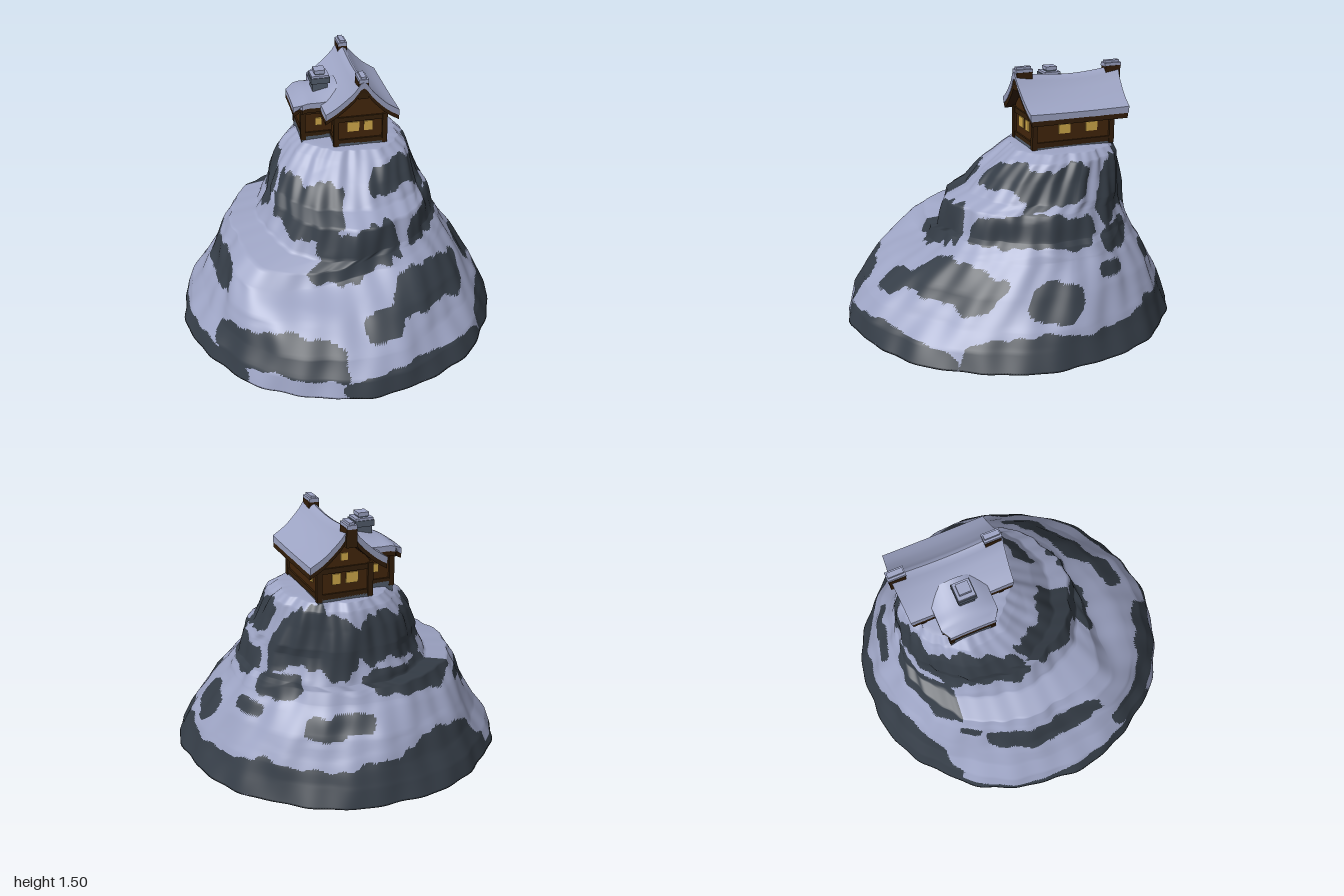
import * as THREE from 'three';
import { toCreasedNormals } from 'three/addons/utils/BufferGeometryUtils.js';

const mat = (name, color) => {
  const m = new THREE.MeshStandardMaterial({ color });
  m.name = name;
  return m;
};

// Hill contours: height, x min, x max, z max, z min, bulge of the front-right spur, bulge of the front-left shoulder
const LEVELS = [
  [0, 0, 0, 0, 0, 0, 0],
  [0, -0.965, 0.965, 0.99, -0.99, 0, 0],
  [0.1, -0.92, 0.92, 0.96, -0.955, 0.01, -0.02],
  [0.2, -0.84, 0.875, 0.89, -0.91, 0.04, -0.06],
  [0.35, -0.745, 0.78, 0.7, -0.85, 0.13, 0.01],
  [0.5, -0.67, 0.68, 0.49, -0.75, 0.17, 0.05],
  [0.57, -0.63, 0.65, 0.46, -0.715, 0.1, 0.01],
  [0.6, -0.47, 0.625, 0.44, -0.695, 0.02, 0],
  [0.74, -0.4, 0.575, 0.4, -0.67, 0, 0],
  [0.79, -0.38, 0.555, 0.28, -0.66, 0, 0.02],
  [0.9, -0.32, 0.505, 0.18, -0.63, 0, 0.04],
  [1.0, -0.24, 0.465, 0.07, -0.6, 0, 0.06],
  [1.045, -0.18, 0.42, 0.02, -0.57, 0, 0.04],
  [1.065, 0.125, 0.125, -0.275, -0.275, 0, 0],
];

// Bare rock patches: bearing in degrees (0 = +x, 90 = front), height, half spans
const PATCHES = [
  [133, 0.78, 31, 0.13], [58, 0.91, 23, 0.075], [93, 0.6, 28, 0.14], [42, 0.65, 17, 0.08],
  [82, 0.31, 9, 0.06], [51, 0.37, 23, 0.1], [178, 0.4, 31, 0.085], [125, 0.18, 29, 0.1],
  [68, 0.05, 31, 0.07], [158, 0.03, 25, 0.06], [18, 0.05, 17, 0.09], [14, 0.88, 25, 0.11],
  [-55, 0.83, 34, 0.18], [12, 0.65, 32, 0.09], [-36, 0.57, 14, 0.07], [5, 0.33, 11, 0.095],
  [-23, 0.43, 8, 0.04], [-63, 0.4, 9, 0.06], [-25, 0.07, 58, 0.1], [222, 0.82, 58, 0.14],
  [246, 0.58, 28, 0.08], [248, 0.16, 25, 0.13], [285, 0.42, 10, 0.05],
  [215, 0.47, 6, 0.03], [250, 0.05, 30, 0.1], [200, 0, 32, 0.04], [295, 0.08, 30, 0.13],
];

// Position within a patch, in units of its half spans
const patchUV = ([d, h, w, s], deg, y) => {
  const wave = 0.2 * s * Math.sin(7 * deg * Math.PI / 180 + d);
  return [(((deg - d + 540) % 360) - 180) / w, (y - h - wave) / s];
};

function isRock(deg, y) {
  const r = deg * Math.PI / 180;
  const wob = 0.2 * Math.sin(17 * r + 21 * y) + 0.16 * Math.sin(37 * r - 33 * y);
  return PATCHES.some((p) => {
    const [u, v] = patchUV(p, deg, y);
    return u * u * u * u + Math.abs(v * v * v) + wob < 0.95;
  });
}

// Rock faces stand steeper than the snow, leaving a small shelf above each
function terrace(deg, y) {
  let sum = 0;
  for (const p of PATCHES) {
    const [u, v] = patchUV(p, deg, y);
    if (Math.abs(u) < 1.2 && Math.abs(v) < 1.4) sum += 0.14 * p[3] * v * (1 - (u / 1.2) ** 2) * (1 - (v / 1.4) ** 2);
  }
  return sum * Math.min(1, Math.max(0, (y - 0.12) * 5));
}

function hillGeometry() {
  const N = 400, SUB = 10, rows = (LEVELS.length - 1) * SUB;
  const pos = [], snow = [], rock = [];
  for (let j = 0; j <= rows; j++) {
    const k = Math.min(Math.floor(j / SUB), LEVELS.length - 2), t = j / SUB - k;
    const [y, x0, x1, z1, z0, bulge, shoulder] = LEVELS[k].map((v, c) => v + (LEVELS[k + 1][c] - v) * t);
    const fade = Math.min(1, (x1 - x0) / 0.5);
    for (let i = 0; i < N; i++) {
      const a = (i / N) * Math.PI * 2;
      const spur = a - Math.PI * 0.75, dip = a - 2.0, side = a - 0.9;
      const extra = bulge * Math.exp(-spur * spur / 0.14) + shoulder * Math.exp(-side * side / 0.2)
        + fade * (terrace(i / N * 360, y)
        + 0.007 * (Math.sin(9 * a + 9 * y) + 0.6 * Math.sin(17 * a - 12 * y) + 0.5 * Math.sin(29 * a + 5 * y)));
      // The wide shelf winds downhill round the spur
      const drop = 0.08 * Math.exp(-dip * dip / 0.25) * Math.exp(-(((y - 0.53) / 0.13) ** 2)) * Math.min(1, y * 5);
      pos.push((x0 + x1) / 2 + ((x1 - x0) / 2 + extra) * Math.cos(a), y - drop,
        (z0 + z1) / 2 + ((z1 - z0) / 2 + extra) * Math.sin(a));
    }
  }
  for (let j = 0; j < rows; j++) {
    for (let i = 0; i < N; i++) {
      const n = (i + 1) % N;
      const a = j * N + i, b = j * N + n, c = a + N, d = b + N;
      for (const [tri, f] of [[[a, c, b], 1 / 3], [[b, c, d], 2 / 3]]) {
        const y = tri.reduce((sum, v) => sum + pos[v * 3 + 1] / 3, 0);
        (j >= SUB && isRock((i + f) / N * 360, y) ? rock : snow).push(...tri);
      }
    }
  }
  const g = new THREE.BufferGeometry();
  g.setAttribute('position', new THREE.Float32BufferAttribute(pos, 3));
  g.setIndex([...snow, ...rock]);
  g.addGroup(0, snow.length, 0);
  g.addGroup(snow.length, rock.length, 1);
  g.computeVertexNormals();
  return g;
}

// Curved roof slab: an eave-to-eave line thickened from lo to hi and run along z
function roofGeometry(line, lo, hi, zBack, zFront, rule) {
  const curve = new THREE.SplineCurve(line.map((p) => new THREE.Vector2(...p))).getPoints(20);
  const shape = new THREE.Shape([
    ...curve.map((p) => new THREE.Vector2(p.x, p.y + lo)),
    ...curve.reverse().map((p) => new THREE.Vector2(p.x, p.y + hi)),
  ]);
  const g = new THREE.ExtrudeGeometry(shape, { depth: 1, steps: 12, bevelEnabled: false });
  const p = g.attributes.position;
  for (let i = 0; i < p.count; i++) {
    const s = p.getZ(i) * 2 - 1;
    const [dy, grow] = rule(p.getX(i), p.getY(i), s);
    p.setY(i, p.getY(i) + dy);
    p.setZ(i, (zBack + zFront) / 2 + s * ((zFront - zBack) / 2 + grow));
  }
  return toCreasedNormals(g, 0.7);
}

export function createModel() {
  const snow = mat('snow', 0x9da4c4), rock = mat('rock', 0x353d47), wood = mat('wood', 0x43260b);
  const beam = mat('dark beam', 0x331e09), glow = mat('lit window', 0xd0a94a), stone = mat('chimney stone', 0x525c6b);
  const model = new THREE.Group();
  model.name = 'snowyHillCabin';
  const add = (name, geo, material, parent = model) => {
    const m = new THREE.Mesh(geo, material);
    m.name = name;
    parent.add(m);
    return m;
  };
  // Box given by its limits on each axis
  const box = (name, material, x0, x1, y0, y1, z0, z1, parent) => {
    const m = add(name, new THREE.BoxGeometry(x1 - x0, y1 - y0, z1 - z0), material, parent);
    m.position.set((x0 + x1) / 2, (y0 + y1) / 2, (z0 + z1) / 2);
  };

  // Hill with its underside
  add('hill', hillGeometry(), [snow, rock]);

  const cabin = new THREE.Group();
  cabin.name = 'cabin';
  model.add(cabin);

  // Foundations and walls
  box('mainFoundation', stone, 0.0, 0.31, 1.0, 1.065, -0.535, -0.035, cabin);
  box('wingFoundation', stone, -0.175, 0.02, 1.0, 1.075, -0.43, -0.16, cabin);
  const gable = new THREE.Shape([[0.01, 1.05], [0.305, 1.05], [0.305, 1.25], [0.16, 1.42], [0.01, 1.25]]
    .map((p) => new THREE.Vector2(...p)));
  add('mainWalls', new THREE.ExtrudeGeometry(gable, { depth: 0.48, bevelEnabled: false }).translate(0, 0, -0.525), wood, cabin);
  box('wingWalls', wood, -0.165, 0.03, 1.05, 1.24, -0.42, -0.17, cabin);

  // Sill and top beams, then corner posts
  for (const y of [1.06, 1.205]) {
    box('mainBeam', beam, 0.0, 0.315, y, y + 0.03, -0.535, -0.035, cabin);
    box('wingBeam', beam, -0.175, 0.02, y + 0.01, y + 0.035, -0.43, -0.16, cabin);
  }
  for (const [x, z] of [[0.01, -0.045], [0.305, -0.045], [0.01, -0.525], [0.305, -0.525], [-0.165, -0.17], [-0.165, -0.42]]) {
    box('cornerPost', beam, x - 0.015, x + 0.015, 1.05, 1.24, z - 0.015, z + 0.015, cabin);
  }

  // Windows as thin plates
  for (const [x, y, w] of [[0.115, 1.168, 0.07], [0.205, 1.168, 0.05]]) {
    for (const z of [-0.042, -0.528]) box('gableWindow', glow, x - w / 2, x + w / 2, y - 0.03, y + 0.03, z - 0.004, z + 0.004, cabin);
  }
  box('atticWindow', glow, 0.14, 0.18, 1.27, 1.31, -0.531, -0.523, cabin);
  for (const z of [-0.166, -0.424]) box('wingWindow', glow, -0.087, -0.05, 1.137, 1.185, z - 0.004, z + 0.004, cabin);
  for (const z of [-0.23, -0.4]) box('sideWindow', glow, 0.302, 0.31, 1.132, 1.185, z - 0.036, z + 0.036, cabin);
  for (const z of [-0.24, -0.35]) box('wingSideWindow', glow, -0.17, -0.162, 1.137, 1.185, z - 0.025, z + 0.025, cabin);

  // Main roof: sagging ridge, gables leaning outward at the top
  const mainLine = [[-0.06, 1.24], [0.01, 1.285], [0.1, 1.365], [0.16, 1.435], [0.22, 1.365], [0.3, 1.285], [0.38, 1.232]];
  const mainRule = (x, y, s) => [-0.03 * (1 - s * s) * Math.max(0, (y - 1.25) / 0.2), 0.02 * (y - 1.23) / 0.2];
  add('mainRoofBoards', roofGeometry(mainLine, -0.025, 0.004, -0.595, 0.0, mainRule), beam, cabin);
  add('mainRoofSnow', roofGeometry(mainLine, 0.003, 0.043, -0.598, 0.003, mainRule), snow, cabin);

  // Wing roof: slides down from the main slope and rounds off toward both ends
  const wingLine = [[-0.22, 1.235], [-0.15, 1.28], [-0.07, 1.3], [0.06, 1.335]];
  const wingRule = (x, y, s) => [-0.055 * s * s * (x + 0.25) / 0.25, x < -0.18 ? -0.03 : 0];
  add('wingRoofBoards', roofGeometry(wingLine, -0.025, 0.004, -0.465, -0.14, wingRule), beam, cabin);
  add('wingRoofSnow', roofGeometry(wingLine, 0.003, 0.035, -0.468, -0.137, wingRule), snow, cabin);

  // Ridge end posts with long snow caps
  for (const z of [-0.03, -0.585]) {
    box('ridgePost', beam, 0.13, 0.19, 1.37, 1.475, z - 0.047, z + 0.047, cabin);
    box('ridgeSnow', snow, 0.132, 0.188, 1.47, 1.492, z - 0.052, z + 0.052, cabin);
    box('ridgeSnowTop', snow, 0.145, 0.175, 1.49, 1.505, z - 0.045, z + 0.045, cabin);
  }

  // Chimney
  box('chimneyStack', stone, -0.09, 0.0, 1.22, 1.4, -0.325, -0.235, cabin);
  box('chimneyCollar', stone, -0.1, 0.015, 1.375, 1.41, -0.335, -0.225, cabin);
  box('chimneySnow', snow, -0.095, 0.01, 1.405, 1.423, -0.33, -0.23, cabin);
  box('chimneyPot', stone, -0.07, -0.015, 1.41, 1.435, -0.31, -0.25, cabin);
  box('chimneyPotSnow', snow, -0.075, -0.01, 1.432, 1.452, -0.315, -0.245, cabin);

  return model;
}
